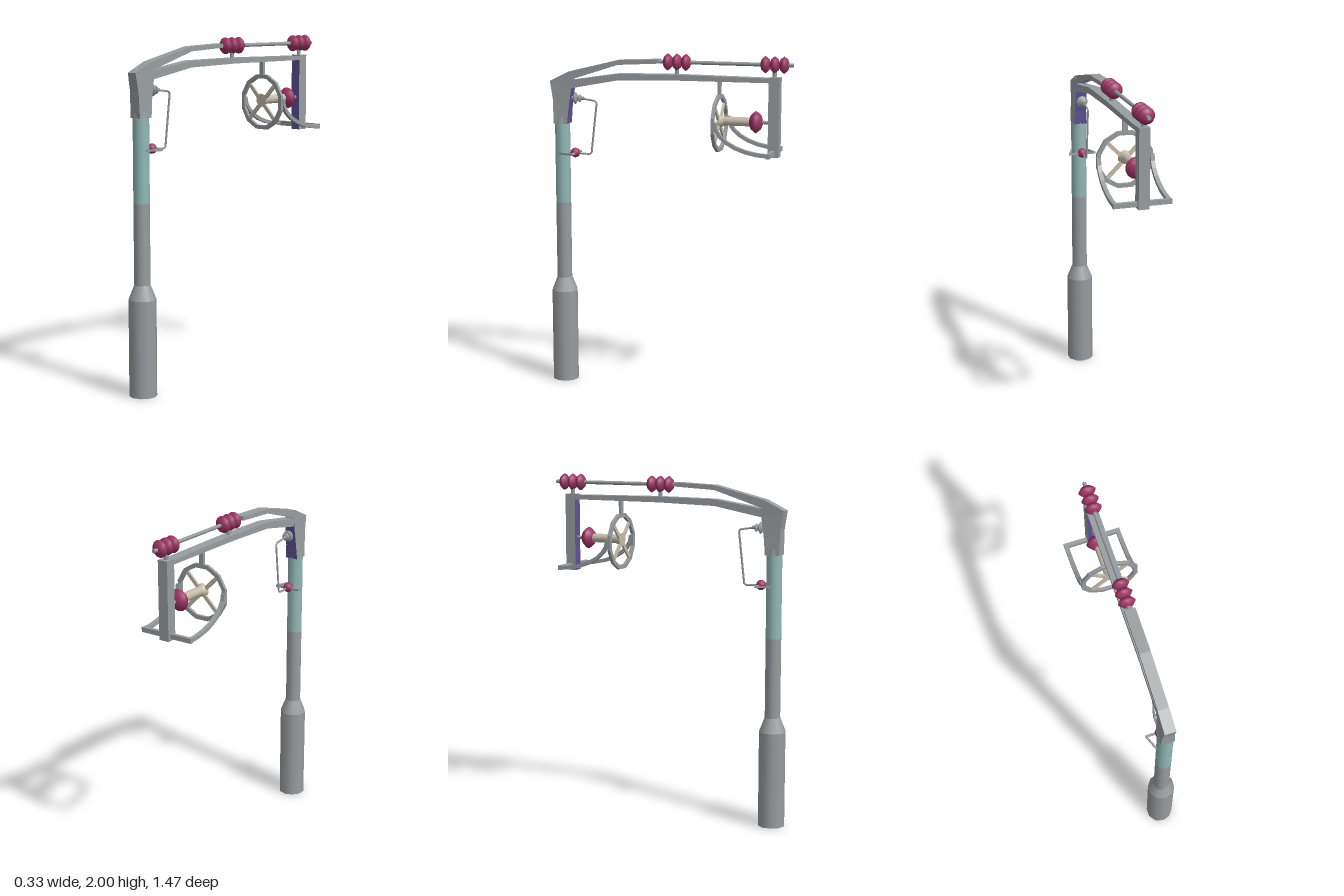
import * as THREE from 'three';

const mat = (name, color, side = THREE.FrontSide) => {
  const m = new THREE.MeshStandardMaterial({ color, side });
  m.name = name;
  return m;
};

export function createModel() {
  const root = new THREE.Group();
  const grey = mat('steel grey', 0x989da0);
  const teal = mat('teal band', 0x92b9b6);
  const red = mat('insulator crimson', 0x9c3462);
  const purple = mat('inner purple', 0x5f5297);
  const beige = mat('hub beige', 0xc6bdab);

  const add = (name, geo, m, x = 0, y = 0, z = 0) => {
    const mesh = new THREE.Mesh(geo, m);
    mesh.name = name;
    mesh.position.set(x, y, z);
    root.add(mesh);
    return mesh;
  };
  const box = (name, w, h, d, m, x, y, z) => add(name, new THREE.BoxGeometry(w, h, d), m, x, y, z);
  const rod = (name, r0, r1, z0, z1, y, m) =>
    add(name, new THREE.CylinderGeometry(r1, r0, Math.abs(z1 - z0), 10).rotateX(-Math.PI / 2), m, 0, y, (z0 + z1) / 2);

  // Beam with a rectangular section; each station is [outer z, outer y, inner z, inner y, half width].
  // Group 1 is the inner face.
  const beam = (stations) => {
    const pos = [[], []];
    const quad = (g, a, b, c, d) => pos[g].push(...a, ...b, ...c, ...a, ...c, ...d);
    const rings = stations.map(([az, ay, bz, by, w]) => [[-w, ay, az], [w, ay, az], [w, by, bz], [-w, by, bz]]);
    for (let i = 0; i + 1 < rings.length; i++) {
      for (let j = 0; j < 4; j++) {
        const k = (j + 1) % 4;
        quad(j === 2 ? 1 : 0, rings[i][j], rings[i][k], rings[i + 1][k], rings[i + 1][j]);
      }
    }
    quad(0, ...[...rings[0]].reverse());
    quad(0, ...rings[rings.length - 1]);
    const geo = new THREE.BufferGeometry();
    geo.setAttribute('position', new THREE.Float32BufferAttribute([...pos[0], ...pos[1]], 3));
    geo.addGroup(0, pos[0].length / 3, 0);
    geo.addGroup(pos[0].length / 3, pos[1].length / 3, 1);
    geo.computeVertexNormals();
    return geo;
  };

  // Lens-shaped insulator disc, axis along z
  const insulator = (name, r, h, m, y, z) => {
    const pts = [[0, -1], [0.3, -1], [0.65, -0.75], [0.87, -0.3], [1, 0], [0.87, 0.3], [0.65, 0.75], [0.3, 1], [0, 1]]
      .map(([a, b]) => new THREE.Vector2(a * r, b * h));
    return add(name, new THREE.LatheGeometry(pts, 14).rotateX(Math.PI / 2), m, 0, y, z);
  };

  // Round pole
  const PZ = 0.656;
  const pole = (name, r0, r1, y0, y1, m) =>
    add(name, new THREE.CylinderGeometry(r1, r0, y1 - y0, 10), m, 0, (y0 + y1) / 2, PZ);
  pole('poleBase', 0.079, 0.079, 0, 0.557, grey);
  pole('poleTaper', 0.079, 0.046, 0.557, 0.64, grey);
  pole('poleShaft', 0.046, 0.046, 0.64, 1.1, grey);
  pole('poleBand', 0.046, 0.046, 1.1, 1.575, teal);
  pole('poleCollar', 0.046, 0.042, 1.575, 1.61, grey);

  // Head block and the two arms
  add('head', beam([
    [0.697, 1.575, 0.612, 1.575, 0.04],
    [0.702, 1.72, 0.605, 1.66, 0.035],
    [0.72, 1.825, 0.587, 1.78, 0.032],
    [0.602, 1.883, 0.588, 1.835, 0.032],
  ]), [grey, purple]);
  add('upperArm', beam([
    [0.602, 1.883, 0.595, 1.835, 0.031],
    [0.3, 1.957, 0.3, 1.93, 0.031],
    [0.05, 1.968, 0.05, 1.944, 0.031],
  ]), [grey, grey]);
  add('lowerArmInner', beam([
    [0.595, 1.832, 0.59, 1.785, 0.031],
    [0.3, 1.878, 0.3, 1.84, 0.031],
    [-0.05, 1.883, -0.05, 1.85, 0.031],
  ]), [grey, grey]);
  add('lowerArmOuter', beam([
    [-0.05, 1.883, -0.05, 1.85, 0.031],
    [-0.6, 1.878, -0.6, 1.852, 0.031],
  ]), [grey, purple]);

  // Hanging post at the arm tip, purple on its inner face
  box('endPost', 0.062, 0.453, 0.062, [grey, grey, grey, grey, purple, grey], 0, 1.656, -0.63);

  // Top rod with two sets of three insulators
  rod('topRod', 0.011, 0.011, 0.07, -0.735, 1.953, grey);
  for (const c of [-0.052, -0.627]) {
    for (const d of [-0.054, 0, 0.054]) insulator('topInsulator', 0.049, 0.027, red, 1.953, c + d);
    add('insulatorStem', new THREE.CylinderGeometry(0.012, 0.012, 0.06, 8), grey, 0, 1.895, c);
  }

  // Spoked wheel hung below the arm
  const WY = 1.612, WZ = -0.307;
  const poly = (r) => Array.from({ length: 12 }, (_, i) => {
    const a = (i + 0.5) * Math.PI / 6;
    return new THREE.Vector2(r * Math.cos(a), r * Math.sin(a));
  });
  const rim = new THREE.Shape(poly(0.168));
  rim.holes.push(new THREE.Path(poly(0.144)));
  add('wheelRim', new THREE.ExtrudeGeometry(rim, { depth: 0.018, bevelEnabled: false }), grey, 0, WY, WZ - 0.009);
  for (let i = 0; i < 4; i++) {
    const a = Math.PI / 4 + i * Math.PI / 2;
    const spoke = box('wheelSpoke', 0.13, 0.022, 0.012, beige, 0.087 * Math.cos(a), WY + 0.087 * Math.sin(a), WZ);
    spoke.rotation.z = a;
  }
  box('wheelHanger', 0.03, 0.1, 0.016, grey, 0, 1.808, WZ);
  rod('wheelHubFlange', 0.04, 0.026, WZ + 0.008, -0.335, 1.622, beige);
  rod('wheelHub', 0.026, 0.026, -0.33, -0.5, 1.625, beige);
  insulator('wheelInsulator', 0.064, 0.037, red, 1.625, -0.522);
  rod('wheelAxle', 0.01, 0.01, -0.5, -0.61, 1.625, grey);

  // Curved bars joining the wheel sides to the post foot
  const arc = Array.from({ length: 8 }, (_, i) => {
    const a = i / 7 * Math.PI / 2, c = Math.cos(a), s = Math.sin(a);
    return [-0.64 + 0.312 * c, 1.635 - 0.168 * s, -0.64 + 0.332 * c, 1.635 - 0.19 * s, 0.012];
  });
  for (const s of [-1, 1]) add('curvedBar', beam(arc), [grey, grey], s * 0.155);
  box('footBar', 0.334, 0.028, 0.022, grey, 0, 1.456, -0.631);

  // Small wire loop on the pole
  insulator('loopInsulator', 0.035, 0.012, grey, 1.725, 0.572);
  insulator('loopInsulator', 0.024, 0.01, grey, 1.725, 0.545);
  rod('loopPin', 0.01, 0.01, 0.62, 0.52, 1.725, grey);
  const wire = (name, pts, r) => {
    const path = new THREE.CurvePath();
    const v = pts.map((p) => new THREE.Vector3(...p));
    for (let i = 0; i + 1 < v.length; i++) path.add(new THREE.LineCurve3(v[i], v[i + 1]));
    return add(name, new THREE.TubeGeometry(path, 48, r, 6), grey);
  };
  wire('wireLoop', [[0, 1.725, 0.54], [0, 1.712, 0.45], [0, 1.7, 0.44], [0, 1.4, 0.475], [0, 1.395, 0.49], [0, 1.4, 0.62]], 0.006);
  add('loopBall', new THREE.SphereGeometry(0.029, 12, 8), red, 0, 1.4, 0.577);

  // Clamp around the pole
  box('clampBar', 0.16, 0.012, 0.012, grey, 0, 1.398, 0.573);
  for (const s of [-1, 1]) {
    const leg = box('clampLeg', 0.01, 0.012, 0.095, grey, s * 0.062, 1.398, 0.616);
    leg.rotation.y = -s * 0.37;
  }
  return root;
}
